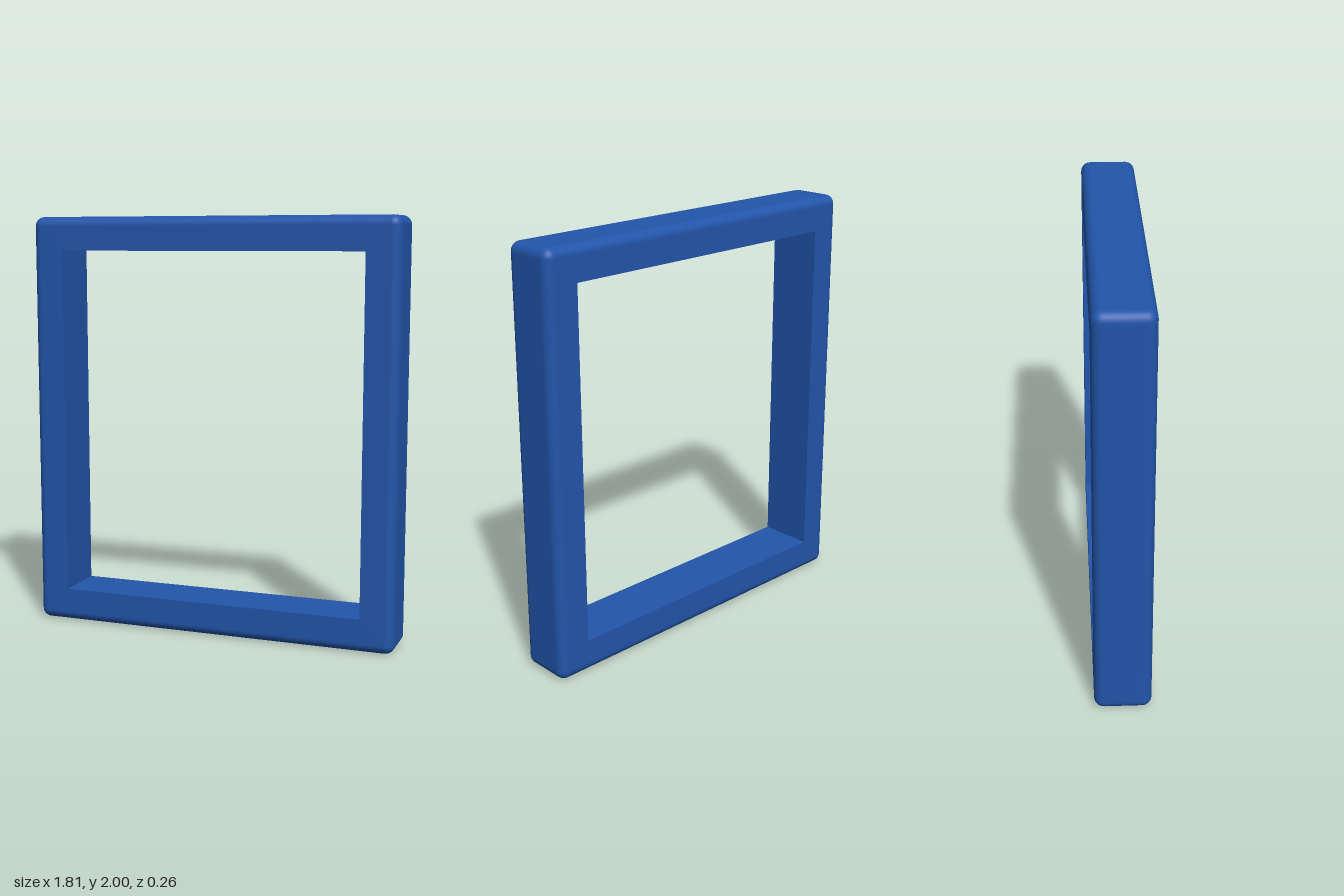
import * as THREE from 'three';

const W = 0.905, H = 1, D = 0.132;   // outer half sizes
const IW = 0.747, IH = 0.839;        // opening half sizes
const R = 0.045, STEPS = 8;          // outer edge rounding

// Outer rim: a rounded profile swept around four rounded corners
function rimGeometry() {
  const pos = [], nor = [], idx = [];
  const cols = 2 * (STEPS + 1), rows = 4 * (STEPS + 1);
  for (let q = 0; q < 4; q++) {
    const cx = (q === 0 || q === 3 ? 1 : -1) * (W - R);
    const cy = (q < 2 ? 1 : -1) * (H - R);
    for (let s = 0; s <= STEPS; s++) {
      const a = (q + s / STEPS) * Math.PI / 2;
      for (let j = 0; j < cols; j++) {
        const back = j > STEPS;
        const phi = (back ? j - 1 : j) / STEPS * Math.PI / 2;
        const n = [Math.sin(phi) * Math.cos(a), Math.sin(phi) * Math.sin(a), Math.cos(phi)];
        nor.push(...n);
        pos.push(cx + R * n[0], cy + R * n[1], (back ? R - D : D - R) + R * n[2]);
      }
    }
  }
  for (let i = 0; i < rows; i++) {
    for (let j = 0; j < cols - 1; j++) {
      const a = i * cols + j, b = ((i + 1) % rows) * cols + j;
      idx.push(a, a + 1, b, b, a + 1, b + 1);
    }
  }
  const g = new THREE.BufferGeometry();
  g.setAttribute('position', new THREE.Float32BufferAttribute(pos, 3));
  g.setAttribute('normal', new THREE.Float32BufferAttribute(nor, 3));
  g.setIndex(idx);
  return g;
}

const corners = (w, h) => [[-w, -h], [w, -h], [w, h], [-w, h]].map(([x, y]) => new THREE.Vector2(x, y));

export function createModel() {
  const group = new THREE.Group();
  group.name = 'rectangularFrame';
  const material = new THREE.MeshStandardMaterial({ color: 0x2255aa });
  const frame = new THREE.Group();
  frame.name = 'frame';
  frame.position.y = H;
  group.add(frame);

  const add = (name, geometry) => {
    const mesh = new THREE.Mesh(geometry, material);
    mesh.name = name;
    frame.add(mesh);
    return mesh;
  };

  add('outerRim', rimGeometry());

  // Flat front and back faces around the opening
  const face = new THREE.Shape(corners(W - R, H - R));
  face.holes.push(new THREE.Path(corners(IW, IH).reverse()));
  const faceGeometry = new THREE.ShapeGeometry(face);
  add('frontFace', faceGeometry).position.z = D;
  const back = add('backFace', faceGeometry);
  back.position.z = -D;
  back.rotation.y = Math.PI;

  // Sharp-edged inner walls, facing into the opening
  for (const s of [-1, 1]) {
    const side = add(s > 0 ? 'leftInnerWall' : 'rightInnerWall', new THREE.PlaneGeometry(2 * D, 2 * IH));
    side.position.x = s * IW;
    side.rotation.y = -s * Math.PI / 2;
    const rail = add(s > 0 ? 'topInnerWall' : 'bottomInnerWall', new THREE.PlaneGeometry(2 * IW, 2 * D));
    rail.position.y = s * IH;
    rail.rotation.x = s * Math.PI / 2;
  }
  return group;
}
